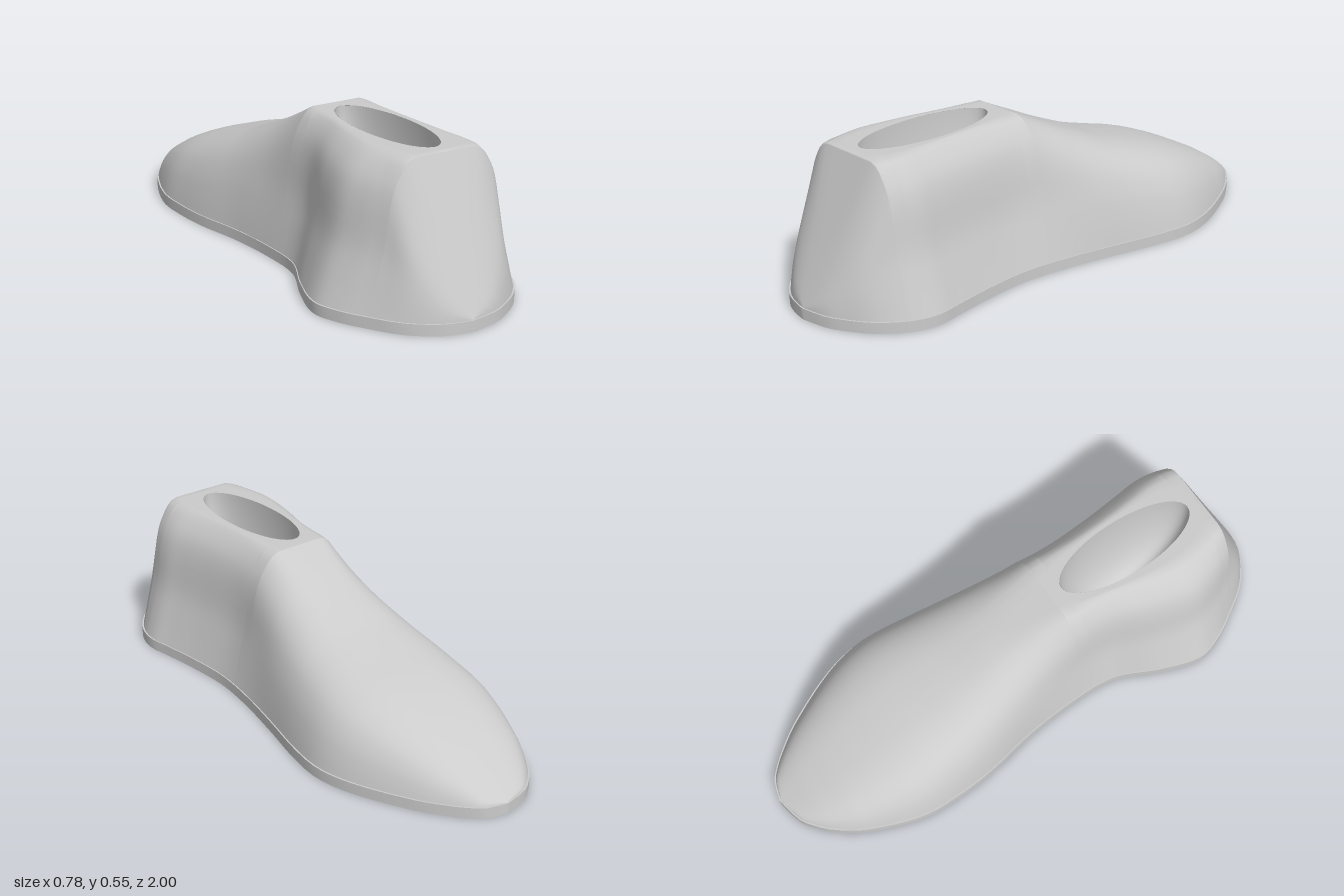
import * as THREE from 'three';
import { mergeVertices, toCreasedNormals } from 'three/addons/utils/BufferGeometryUtils.js';

const SOLE = 0.04, TOP = 0.545;
const HOLE = { x: -0.02, z: 0.475, rx: 0.1, rz: 0.275 };

// Sole outline: z, right edge (-x), left edge (+x)
const OUTLINE = [
  [-1, 0.03, 0.03], [-0.98, -0.06, 0.1], [-0.95, -0.11, 0.14], [-0.9, -0.165, 0.185],
  [-0.8, -0.235, 0.255], [-0.6, -0.31, 0.35], [-0.45, -0.32, 0.385], [-0.3, -0.31, 0.37],
  [-0.1, -0.275, 0.325], [0.1, -0.26, 0.285], [0.28, -0.27, 0.265], [0.45, -0.345, 0.275],
  [0.6, -0.39, 0.295], [0.7, -0.365, 0.308], [0.8, -0.31, 0.28], [0.9, -0.24, 0.2],
  [0.96, -0.165, 0.11], [0.985, -0.11, 0.05], [1, -0.04, -0.04],
];
// Ridge height along z, and the centre line
const RIDGE = [
  [-1, 0.04], [-0.9, 0.112], [-0.8, 0.172], [-0.7, 0.222], [-0.6, 0.264], [-0.5, 0.298],
  [-0.4, 0.326], [-0.25, 0.372], [-0.05, 0.455], [0.15, TOP], [0.8, TOP], [1, 0.04],
];
const CENTRE = [[-1, 0.03], [-0.8, 0.01], [0, 0], [0.2, -0.02], [0.8, -0.02], [1, -0.04]];

// Half sections as fractions of half width and height
const DOME = [[1, 0], [0.96, 0.22], [0.89, 0.48], [0.77, 0.72], [0.58, 0.89], [0.32, 0.98], [0, 1]];
const HEEL = [[1, 0], [0.9, 0.2], [0.8, 0.42], [0.73, 0.7], [0.63, 0.87], [0.43, 1], [0, 1]];

// Interpolates one column of a table, straight or with smooth tangents
function lookup(table, z, col, smooth = false) {
  let i = 0;
  while (i < table.length - 2 && z > table[i + 1][0]) i++;
  const [p, q] = [table[i], table[i + 1]];
  const h = q[0] - p[0], t = THREE.MathUtils.clamp((z - p[0]) / h, 0, 1);
  if (!smooth) return p[col] + (q[col] - p[col]) * t;
  const slope = (k) => {
    const a = table[Math.max(k - 1, 0)], b = table[Math.min(k + 1, table.length - 1)];
    return (b[col] - a[col]) / (b[0] - a[0]);
  };
  const t2 = t * t, t3 = t2 * t;
  return (2 * t3 - 3 * t2 + 1) * p[col] + (t3 - 2 * t2 + t) * h * slope(i)
    + (3 * t2 - 2 * t3) * q[col] + (t3 - t2) * h * slope(i + 1);
}

// Stations from a to b, crowded towards both ends
function span(a, b, n) {
  return Array.from({ length: n }, (_, i) => a + (b - a) * (1 - Math.cos((Math.PI * i) / n)) / 2);
}
const STATIONS = [...span(-1, 0.15, 44), ...span(0.15, 0.2, 2), ...span(0.2, 0.75, 28),
  ...span(0.75, 0.8, 2), ...span(0.8, 1, 16), 1];

// One side of the upper: sections run from the sole up to the ridge or opening
function halfUpper(side, positions, indices) {
  const N = 20, start = positions.length / 3;
  STATIONS.forEach((z, i) => {
    const cx = lookup(CENTRE, z, 1), height = lookup(RIDGE, z, 1) - SOLE;
    const half = (lookup(OUTLINE, z, side > 0 ? 2 : 1, true) - cx) * 0.985;
    const d = (z - HOLE.z) / HOLE.rz;
    const edge = Math.abs(d) < 1 ? HOLE.rx * Math.sqrt(1 - d * d) : 0;
    const k = THREE.MathUtils.smoothstep(z, -0.15, 0.3) * (1 - THREE.MathUtils.smoothstep(z, 0.78, 0.95));
    const curve = new THREE.SplineCurve(DOME.map(([x, y], j) => new THREE.Vector2(
      j === DOME.length - 1 ? side * edge : half * THREE.MathUtils.lerp(x, HEEL[j][0], k),
      height * THREE.MathUtils.lerp(y, HEEL[j][1], k))));
    for (let j = 0; j <= N; j++) {
      const p = curve.getPoint(j / N);
      positions.push(cx + p.x, SOLE + Math.min(p.y, height), z * 0.995);
      if (i === STATIONS.length - 1 || j === N) continue;
      const a = start + i * (N + 1) + j, b = a + 1, c = a + N + 1, e = c + 1;
      indices.push(...(side > 0 ? [a, b, c, b, e, c] : [a, c, b, b, c, e]));
    }
  });
}

function upperGeometry() {
  const positions = [], indices = [];
  for (const side of [1, -1]) halfUpper(side, positions, indices);
  let geo = new THREE.BufferGeometry();
  geo.setAttribute('position', new THREE.Float32BufferAttribute(positions, 3));
  geo.setIndex(indices);
  geo = mergeVertices(geo, 1e-4);
  geo.computeVertexNormals();
  return geo;
}

function soleGeometry() {
  const edge = (col) => STATIONS.map((z) => new THREE.Vector2(lookup(OUTLINE, z, col, true), -z));
  const left = edge(2), right = edge(1).reverse().slice(1, -1);
  const geo = new THREE.ExtrudeGeometry(new THREE.Shape([...left, ...right]),
    { depth: SOLE, bevelEnabled: false });
  geo.rotateX(-Math.PI / 2);
  return toCreasedNormals(geo, 0.7);
}

export function createModel() {
  const group = new THREE.Group();
  group.name = 'shoe';
  const grey = new THREE.MeshStandardMaterial({ color: 0xcccccc });
  const greyDouble = new THREE.MeshStandardMaterial({ color: 0xcccccc, side: THREE.DoubleSide });
  const add = (name, geo, mat) => {
    const mesh = new THREE.Mesh(geo, mat);
    mesh.name = name;
    group.add(mesh);
    return mesh;
  };

  add('sole', soleGeometry(), grey);
  add('upper', upperGeometry(), greyDouble);

  // Hollow for the foot below the oval opening
  const hollow = new THREE.SphereGeometry(1, 48, 16, 0, Math.PI * 2, Math.PI / 2, Math.PI / 2);
  hollow.scale(HOLE.rx, 0.36, HOLE.rz);
  add('footOpening', hollow, greyDouble).position.set(HOLE.x, TOP, HOLE.z);
  return group;
}
